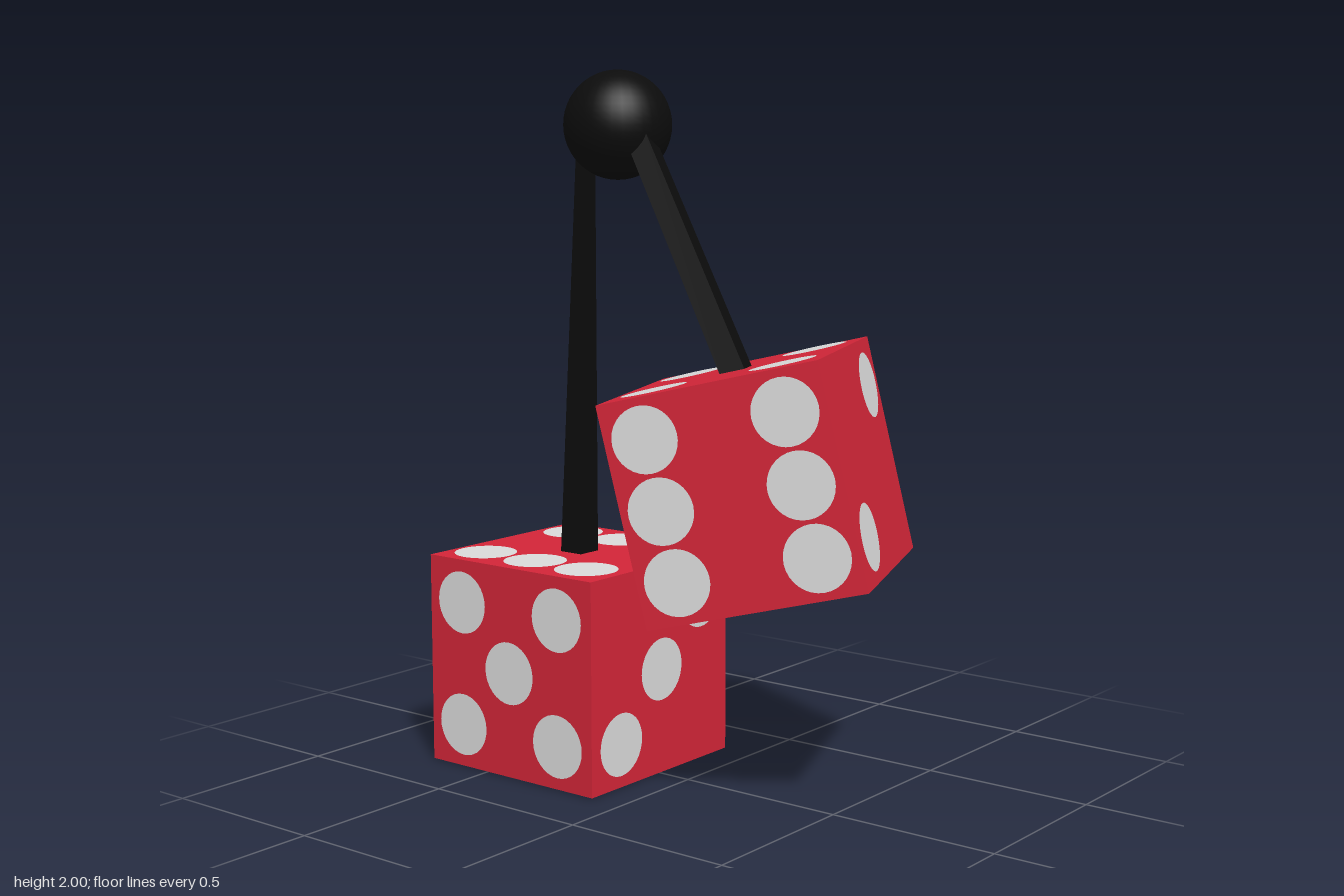
import * as THREE from 'three';

const red = new THREE.MeshStandardMaterial({ color: 0xd22538 });
red.name = 'die red';
const white = new THREE.MeshStandardMaterial({ color: 0xdadada });
white.name = 'pip white';
const black = new THREE.MeshStandardMaterial({ color: 0x0c0c0c });
black.name = 'cord black';

const SIZE = 0.612;
const P = 0.181; // pip offset from face centre
const Q = 0.193; // wider offset for the six

// Pip layouts in face coordinates (u right, v up)
const two = [[P, P], [-P, -P]];
const twoFlipped = [[-P, P], [P, -P]];
const four = [...two, ...twoFlipped];
const six = [-Q, Q].flatMap((u) => [-Q, 0, Q].map((v) => [u, v]));
const PIPS = {
  one: [[0, 0]],
  two,
  twoFlipped,
  three: [...two, [0, 0]],
  threeFlipped: [...twoFlipped, [0, 0]],
  four,
  five: [...four, [0, 0]],
  six,
};

// Rotations that turn a +z facing plate onto each side of the cube
const FACES = {
  front: [0, 0],
  back: [0, Math.PI],
  left: [0, Math.PI / 2],
  right: [0, -Math.PI / 2],
  top: [-Math.PI / 2, 0],
  bottom: [Math.PI / 2, 0],
};

function makeDie(name, layout) {
  const die = new THREE.Group();
  die.name = name;
  const body = new THREE.Mesh(new THREE.BoxGeometry(SIZE, SIZE, SIZE), red);
  body.name = 'dieBody';
  die.add(body);
  const disc = new THREE.CircleGeometry(0.091, 32);
  for (const [side, [rx, ry]] of Object.entries(FACES)) {
    const face = new THREE.Group();
    face.name = side + 'Pips';
    face.rotation.set(rx, ry, 0);
    for (const [u, v] of PIPS[layout[side]]) {
      const pip = new THREE.Mesh(disc, white);
      pip.name = 'pip';
      pip.position.set(u, v, SIZE / 2 + 0.003);
      face.add(pip);
    }
    die.add(face);
  }
  return die;
}

// Square tapered cord leaning from a bottom point to a top point
function makeCord(name, bottom, top, bottomWidth, topWidth, yaw) {
  const h = top[1] - bottom[1];
  const dx = top[0] - bottom[0];
  const dz = top[2] - bottom[2];
  const k = Math.SQRT1_2;
  const geo = new THREE.CylinderGeometry(topWidth * k, bottomWidth * k, h, 4)
    .toNonIndexed()
    .rotateY(Math.PI / 4 + yaw)
    .translate(0, h / 2, 0);
  const pos = geo.attributes.position;
  for (let i = 0; i < pos.count; i++) {
    const t = pos.getY(i) / h;
    pos.setX(i, pos.getX(i) + dx * t);
    pos.setZ(i, pos.getZ(i) + dz * t);
  }
  geo.computeVertexNormals();
  const cord = new THREE.Mesh(geo, black);
  cord.name = name;
  cord.position.set(...bottom);
  return cord;
}

export function createModel() {
  const model = new THREE.Group();
  model.name = 'hangingDice';

  // Lower die, standing square
  const lower = makeDie('lowerDie', {
    front: 'three', back: 'four', left: 'twoFlipped', right: 'five', top: 'six', bottom: 'one',
  });
  lower.position.set(0, SIZE / 2, -0.404);
  model.add(lower);

  // Upper die, turned and tipped back
  const yaw = 0.376;
  const upper = makeDie('upperDie', {
    front: 'two', back: 'five', left: 'one', right: 'six', top: 'four', bottom: 'threeFlipped',
  });
  upper.rotation.set(-0.231, yaw, 0, 'YXZ');
  upper.position.set(0, 0.893, 0.25);
  model.add(upper);

  // Ball that joins the cords
  const ball = new THREE.Mesh(new THREE.SphereGeometry(0.153, 32, 24), black);
  ball.name = 'topBall';
  ball.position.set(0, 1.847, -0.25);
  model.add(ball);

  // Cords
  model.add(makeCord('lowerCord', [0, 0.6, -0.404], [0, 1.83, -0.368], 0.077, 0.037, 0));
  model.add(makeCord('upperCord', [-0.025, 1.16, 0.2], [-0.03, 1.84, -0.16], 0.077, 0.067, yaw));
  return model;
}
